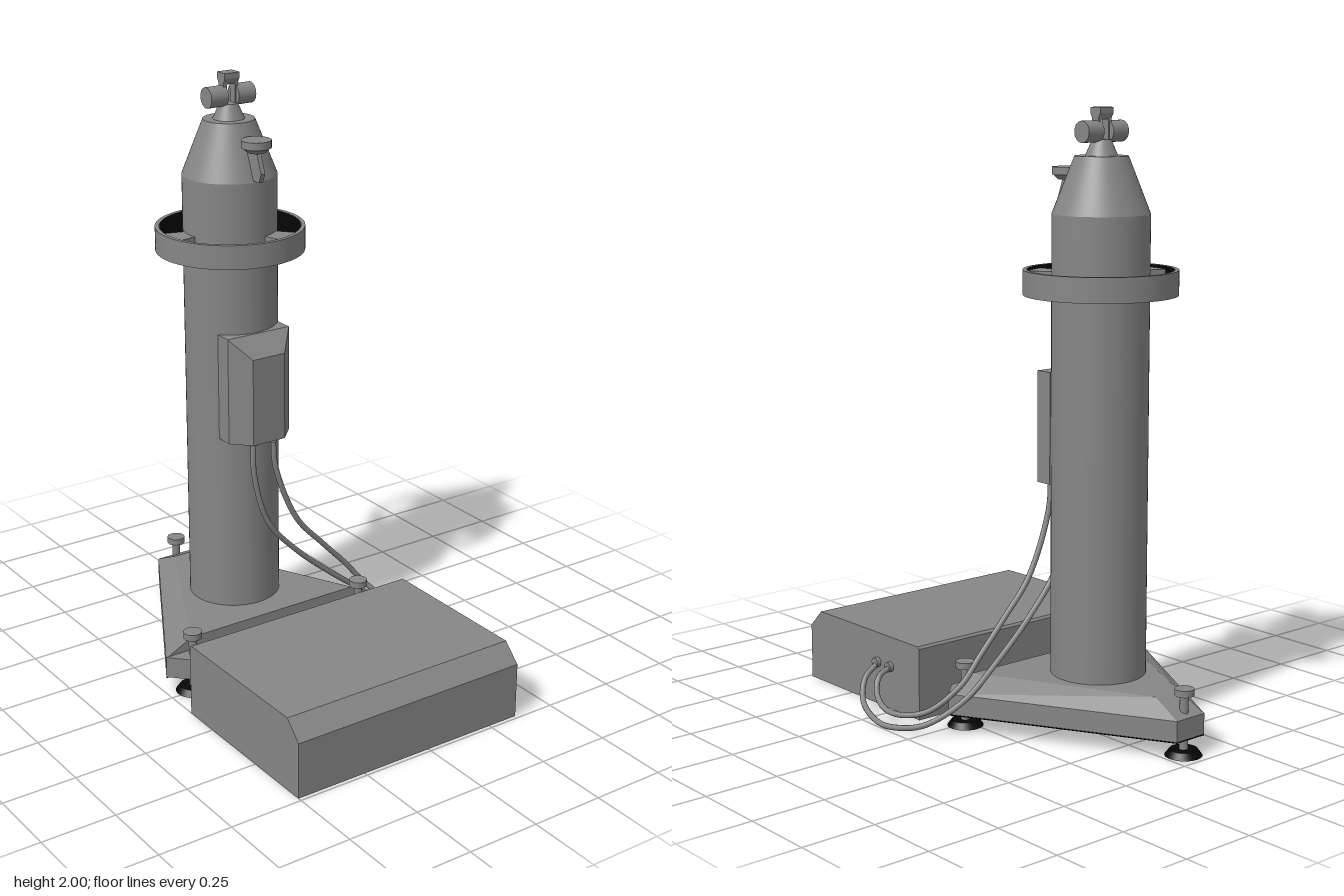
import * as THREE from 'three';
import { ConvexGeometry } from 'three/addons/geometries/ConvexGeometry.js';

const grey = new THREE.MeshStandardMaterial({ color: 0x868686 });
grey.name = 'grey metal';
const black = new THREE.MeshStandardMaterial({ color: 0x060606, side: THREE.DoubleSide });
black.name = 'black underside';

const CX = -0.07, CZ = -0.28; // column axis
const V = (x, y, z) => new THREE.Vector3(x, y, z);

export function createModel() {
  const model = new THREE.Group();
  model.name = 'columnInstrument';

  const add = (name, geometry, x = 0, y = 0, z = 0, material = grey, parent = model) => {
    const mesh = new THREE.Mesh(geometry, material);
    mesh.name = name;
    mesh.position.set(x, y, z);
    parent.add(mesh);
    return mesh;
  };
  // upright cylinder between two heights
  const post = (name, rTop, rBottom, y0, y1, x, z, material = grey, sides = 32) =>
    add(name, new THREE.CylinderGeometry(rTop, rBottom, y1 - y0, sides), x, (y0 + y1) / 2, z, material);
  // flat shape given in x and z, extruded upward
  const slab = (name, shape, y0, y1, x, z, material = grey) => {
    const g = new THREE.ExtrudeGeometry(shape, { depth: y1 - y0, bevelEnabled: false, curveSegments: 48 });
    g.rotateX(-Math.PI / 2);
    return add(name, g, x, y0, z, material);
  };

  // Triangular base with sloping sides
  const outer = [[-0.43, -0.035], [0.43, -0.035], [0.06, -0.705], [-0.06, -0.705]];
  const inner = [[-0.33, -0.036], [0.33, -0.036], [0.05, -0.6], [-0.05, -0.6]];
  const basePoints = [];
  for (const [x, z] of outer) basePoints.push(V(CX + x, 0.062, z), V(CX + x, 0.13, z));
  for (const [x, z] of inner) basePoints.push(V(CX + x, 0.18, z));
  add('base', new ConvexGeometry(basePoints));
  const under = new THREE.Shape(outer.map(([x, z]) => new THREE.Vector2(x, -z)));
  slab('baseUnderside', under, 0.058, 0.061, CX, 0, black);

  // Lugs carrying the front feet
  for (const s of [-1, 1]) {
    const lug = [];
    for (const [x, z] of [[0.43, -0.036], [0.37, 0.025], [0.32, 0.025], [0.29, -0.036]])
      lug.push(V(CX + s * x, 0.062, z), V(CX + s * x, 0.135, z));
    add('frontLug', new ConvexGeometry(lug));
  }

  // Levelling feet: pad, screw and thumb knob
  for (const [x, z] of [[-0.34, -0.01], [0.34, -0.01], [0, -0.675]]) {
    post('footPad', 0.045, 0.06, 0, 0.02, CX + x, z, black);
    post('footScrew', 0.014, 0.014, 0.01, 0.2, CX + x, z, grey, 16);
    post('footKnob', 0.031, 0.031, 0.195, 0.217, CX + x, z, grey, 24);
  }

  // Column with tapered head
  post('column', 0.156, 0.156, 0.175, 1.67, CX, CZ, grey, 64);
  post('columnHead', 0.085, 0.156, 1.67, 1.85, CX, CZ, grey, 64);

  // Hand ring held by three wedge spokes
  const ring = new THREE.Shape().absarc(0, 0, 0.247, 0, Math.PI * 2);
  ring.holes.push(new THREE.Path().absarc(0, 0, 0.233, 0, Math.PI * 2, true));
  slab('handRing', ring, 1.415, 1.495, CX, CZ);
  add('ringLining', new THREE.CylinderGeometry(0.232, 0.232, 0.079, 64, 1, true), CX, 1.455, CZ, black);
  for (let i = 0; i < 3; i++) {
    const mid = THREE.MathUtils.degToRad(57 + i * 120), half = 0.23;
    const spoke = new THREE.Shape();
    spoke.absarc(0, 0, 0.236, mid - half, mid + half);
    spoke.absarc(0, 0, 0.15, mid + half, mid - half, true);
    slab('ringSpoke', spoke, 1.43, 1.485, CX, CZ);
    slab('spokeUnderside', spoke, 1.425, 1.429, CX, CZ, black);
  }

  // Top pivot: neck, split crossbar, posts and cap
  post('pivotNeck', 0.03, 0.052, 1.85, 1.9, CX, CZ);
  for (const s of [-1, 1]) {
    const bar = add('crossbar', new THREE.CylinderGeometry(0.034, 0.034, 0.065, 32), CX + s * 0.052, 1.925, CZ);
    bar.rotation.z = Math.PI / 2;
    add('pivotPost', new THREE.BoxGeometry(0.012, 0.1, 0.03), CX + s * 0.021, 1.935, CZ);
  }
  add('pivotCap', new ConvexGeometry([-1, 1].flatMap(s => [
    V(s * 0.028, 2, -0.023), V(s * 0.028, 2, 0.023), V(s * 0.028, 1.982, -0.023),
    V(s * 0.028, 1.982, 0.023), V(s * 0.028, 1.962, -0.012), V(s * 0.028, 1.962, 0.012),
  ])), CX, 0, CZ);

  // Head knob on a thin bracket
  post('headKnob', 0.049, 0.049, 1.785, 1.81, CX, -0.12);
  post('headKnobTaper', 0.045, 0.03, 1.77, 1.785, CX, -0.12);
  add('knobBracket', new ConvexGeometry([-0.008, 0.008].flatMap(x => [
    V(x, 1.78, -0.11), V(x, 1.78, -0.19), V(x, 1.705, -0.082), V(x, 1.675, -0.095), V(x, 1.675, -0.15),
  ])), CX, 0, 0);

  // Control box with chamfered sides and top
  const boxPoints = [];
  for (const s of [-1, 1]) {
    for (const z of [-0.175, -0.115]) boxPoints.push(V(s * 0.12, 0.8, z), V(s * 0.12, 1.165, z));
    boxPoints.push(V(s * 0.062, 0.8, -0.055), V(s * 0.062, 1.1, -0.055));
  }
  add('controlBox', new ConvexGeometry(boxPoints), CX, 0, 0);

  // Floor unit with chamfered front edge
  const unit = [];
  for (const x of [-0.5, 0.36])
    for (const [y, z] of [[0, 0.12], [0.242, 0.12], [0.25, 0.128], [0.25, 0.677], [0.19, 0.737], [0, 0.737]])
      unit.push(V(x, y, z));
  add('floorUnit', new ConvexGeometry(unit));

  // Cables from the control box to the floor unit
  const cables = [
    [[-0.11, 0.81, -0.09], [-0.108, 0.68, -0.09], [-0.05, 0.49, -0.095], [0.07, 0.35, -0.1], [0.22, 0.22, -0.105],
      [0.35, 0.12, -0.1], [0.45, 0.045, -0.03], [0.49, 0.016, 0.08], [0.495, 0.014, 0.17], [0.465, 0.05, 0.29],
      [0.42, 0.11, 0.335], [0.355, 0.147, 0.345]],
    [[-0.035, 0.81, -0.085], [-0.025, 0.69, -0.085], [0.06, 0.48, -0.085], [0.17, 0.355, -0.085], [0.27, 0.25, -0.085],
      [0.34, 0.165, -0.075], [0.42, 0.08, -0.01], [0.462, 0.052, 0.08], [0.468, 0.055, 0.17], [0.445, 0.09, 0.24],
      [0.41, 0.13, 0.268], [0.355, 0.147, 0.275]],
  ];
  for (const points of cables) {
    const curve = new THREE.CatmullRomCurve3(points.map(p => V(...p)));
    add('cable', new THREE.TubeGeometry(curve, 90, 0.0095, 10));
    const [sx, , sz] = points[0], [, ey, ez] = points[points.length - 1];
    post('cableGland', 0.014, 0.014, 0.785, 0.805, sx, sz, grey, 16);
    const port = add('cablePort', new THREE.CylinderGeometry(0.017, 0.017, 0.02, 20), 0.365, ey, ez);
    port.rotation.z = Math.PI / 2;
  }

  return model;
}
